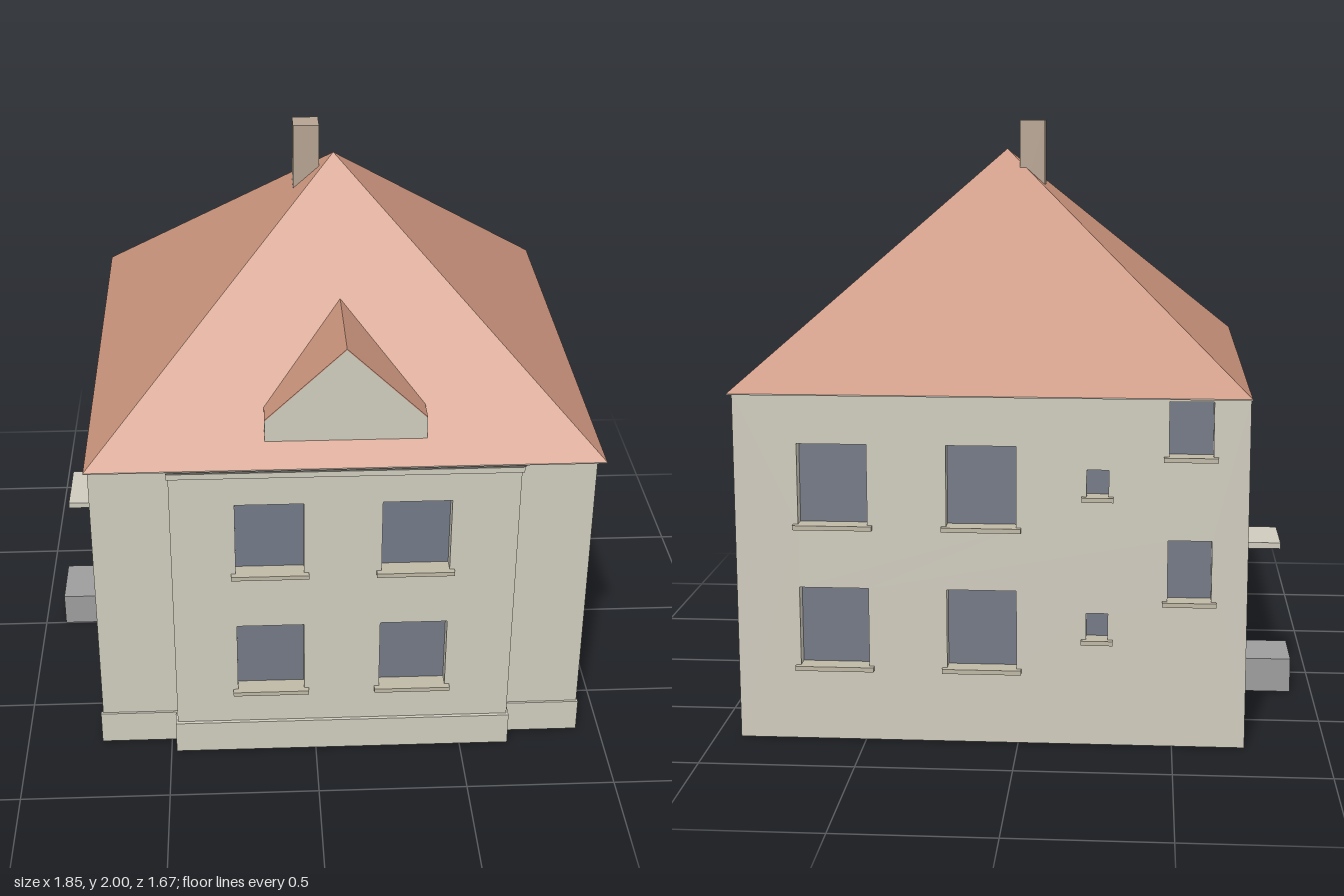
import * as THREE from 'three';

const mat = (name, color) => {
  const m = new THREE.MeshStandardMaterial({ color });
  m.name = name;
  return m;
};

export function createModel() {
  const plaster = mat('plaster', 0xcfcbbd);
  const tile = mat('roofTile', 0xc8927b);
  const glass = mat('windowGlass', 0x737986);
  const sillStone = mat('sillStone', 0xbfb8a6);
  const brick = mat('chimneyBrick', 0xb5a392);
  const concrete = mat('concrete', 0x9d9d9d);
  const wood = mat('doorWood', 0x8a6d5e);

  const house = new THREE.Group();
  house.name = 'house';
  const add = (name, geometry, material, parent = house) => {
    const mesh = new THREE.Mesh(geometry, material);
    mesh.name = name;
    parent.add(mesh);
    return mesh;
  };
  // Box given by its minimum and maximum on each axis
  const box = (name, material, x0, x1, y0, y1, z0, z1, parent) => {
    const g = new THREE.BoxGeometry(x1 - x0, y1 - y0, z1 - z0);
    g.translate((x0 + x1) / 2, (y0 + y1) / 2, (z0 + z1) / 2);
    return add(name, g, material, parent);
  };
  const shapeOf = (points) => new THREE.Shape(points.map(([x, y]) => new THREE.Vector2(x, y)));
  const extrude = (shape, depth) => new THREE.ExtrudeGeometry(shape, { depth, bevelEnabled: false });

  const BASE = 0.002, EAVE = 1.158, REVEAL = 0.05;

  // Wall slab with recessed openings; its outer face lies on local z = 0
  function wall(name, u0, u1, thickness, openings) {
    const group = new THREE.Group();
    group.name = name;
    const shape = shapeOf([[u0, BASE], [u1, BASE], [u1, EAVE], [u0, EAVE]]);
    for (const { a, b, y0, y1, door } of openings) {
      shape.holes.push(new THREE.Path([[a, y0], [a, y1], [b, y1], [b, y0]].map(([x, y]) => new THREE.Vector2(x, y))));
      box(door ? 'door' : 'windowPane', door ? wood : glass, a, b, y0, y1, -REVEAL, -REVEAL + 0.005, group);
      if (!door) box('windowSill', sillStone, a - 0.016, b + 0.016, y0 - 0.012, y0 + 0.003, -0.003, 0.02, group);
      if (!door) box('innerSill', sillStone, a, b, y0, y0 + 0.003, -REVEAL, 0, group);
    }
    const g = extrude(shape, thickness);
    g.translate(0, 0, -thickness);
    add(name + 'Slab', g, plaster, group);
    house.add(group);
    return group;
  }

  // Solid core behind the walls
  box('houseCore', plaster, -0.685, 0.915, BASE, EAVE, -0.715, 0.705);

  // Front bay with two windows on each floor
  const frontOpenings = [];
  for (const [y0, y1] of [[0.25, 0.515], [0.722, 0.99]])
    for (const a of [-0.265, 0.215]) frontOpenings.push({ a, b: a + 0.225, y0, y1 });
  wall('frontBay', -0.475, 0.66, 0.06, frontOpenings).position.z = 0.765;

  // Back wall, u = -x: two large, one tiny and one medium window on each floor
  const backOpenings = [];
  for (const [low, tiny, medium, top, mediumTop] of [
    [0.25, 0.355, 0.487, 0.515, 0.69],
    [0.722, 0.827, 0.96, 0.99, 1.14],
  ]) {
    backOpenings.push(
      { a: -0.71, b: -0.485, y0: low, y1: top },
      { a: -0.23, b: -0.005, y0: low, y1: top },
      { a: 0.22, b: 0.29, y0: tiny, y1: tiny + 0.09 },
      { a: 0.48, b: 0.62, y0: medium, y1: mediumTop },
    );
  }
  const back = wall('backWall', -0.915, 0.735, REVEAL, backOpenings);
  back.rotation.y = Math.PI;
  back.position.z = -0.765;

  // Entrance wall, u = z
  const entrance = wall('entranceWall', -0.715, 0.705, REVEAL, [
    { a: -0.18, b: -0.03, y0: 0.12, y1: 0.525, door: true },
    { a: -0.167, b: -0.038, y0: 0.712, y1: 0.98 },
  ]);
  entrance.rotation.y = -Math.PI / 2;
  entrance.position.x = -0.735;
  box('doorStep', concrete, -0.925, -0.734, 0, 0.12, -0.21, 0);
  box('doorCanopy', plaster, -0.88, -0.734, 0.524, 0.545, -0.217, 0.01);

  // Plinth along the front
  box('plinth', plaster, -0.742, 0.92, BASE, 0.12, 0.698, 0.713);
  box('bayPlinth', plaster, -0.482, 0.667, BASE, 0.12, 0.7, 0.777);

  // Underside of the floor
  const floor = new THREE.ShapeGeometry(shapeOf([
    [-0.735, -0.765], [0.915, -0.765], [0.92, 0.713], [0.667, 0.713],
    [0.667, 0.777], [-0.482, 0.777], [-0.482, 0.713], [-0.74, 0.713],
  ]));
  floor.rotateX(Math.PI / 2);
  add('floorUnderside', floor, concrete);

  // Moulded cornice over the bay, profile in (z, y)
  const cornice = extrude(shapeOf([
    [0.7, 1.1], [0.783, 1.1], [0.783, 1.12], [0.815, 1.144], [0.815, EAVE], [0.7, EAVE],
  ]), 1.145);
  cornice.rotateY(-Math.PI / 2);
  cornice.translate(0.665, 0, 0);
  add('cornice', cornice, plaster);

  // Pyramid roof on a thin eave board
  box('eaveBoard', plaster, -0.735, 0.915, EAVE, 1.162, -0.835, 0.835);
  let roof = new THREE.ConeGeometry(Math.SQRT1_2, 1, 4, 1, true).toNonIndexed();
  roof.rotateY(Math.PI / 4);
  roof.scale(1.65, 0.738, 1.67);
  roof.translate(0.09, 1.162 + 0.369, 0);
  roof.computeVertexNormals();
  add('roof', roof, tile);

  // Dormer with a gabled roof skin
  const dormer = new THREE.Group();
  dormer.name = 'dormer';
  dormer.position.set(0.0925, 0, 0.4);
  house.add(dormer);
  const half = 0.2575;
  add('dormerGable', extrude(shapeOf([
    [-half, 1.224], [half, 1.224], [half, 1.296], [0, 1.541], [-half, 1.296],
  ]), 0.365), plaster, dormer);
  add('dormerRoof', extrude(shapeOf([
    [-half, 1.296], [0, 1.541], [half, 1.296], [half, 1.3], [0, 1.545], [-half, 1.3],
  ]), 0.365), tile, dormer);

  // Chimney
  box('chimney', brick, -0.046, 0.041, 1.7, 2, -0.071, 0.015);

  return house;
}
